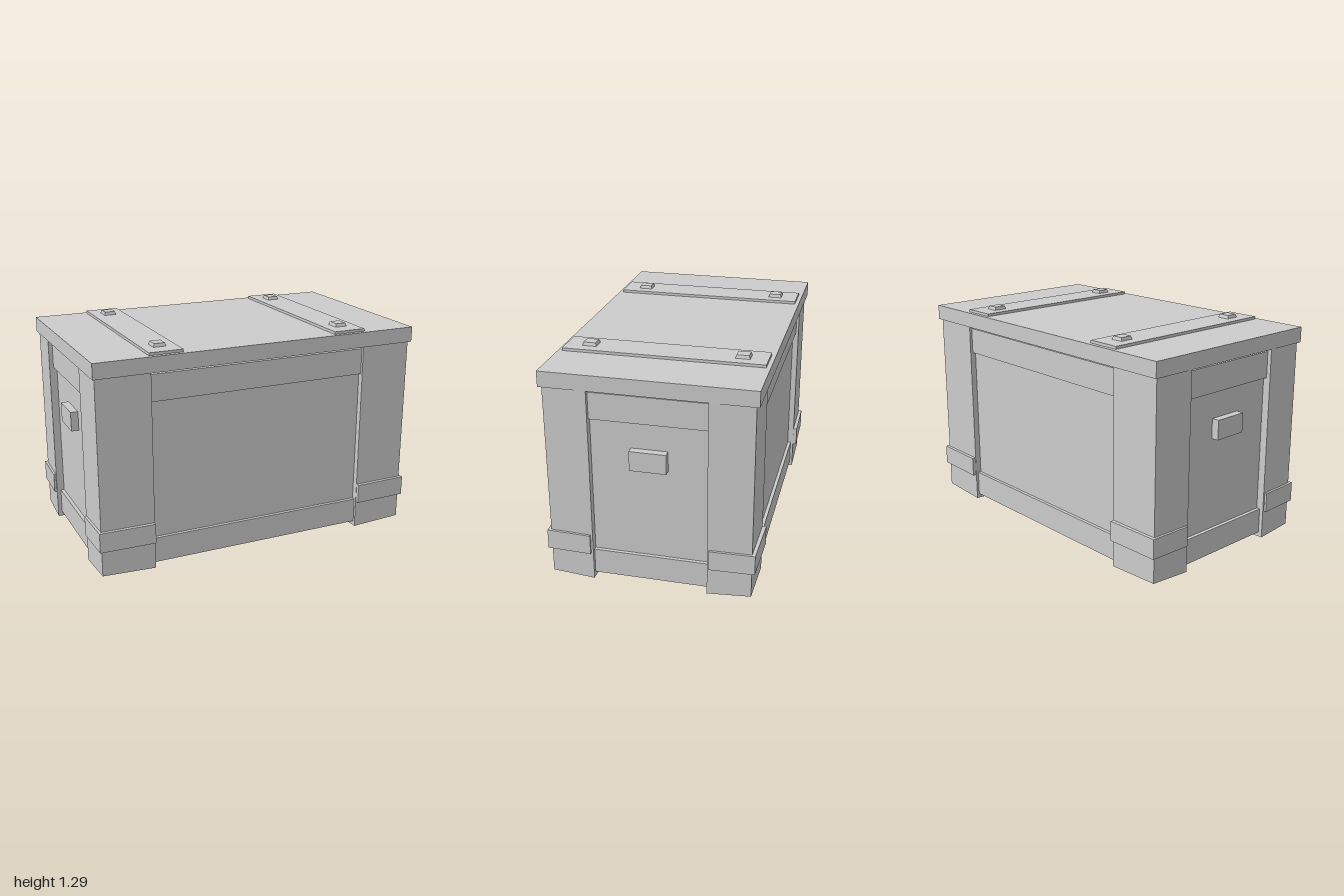
import * as THREE from 'three';

export function createModel() {
  const model = new THREE.Group();
  model.name = 'crate';
  const grey = new THREE.MeshStandardMaterial({ color: 0xcccccc });
  grey.name = 'grey';

  const add = (name, geometry) => {
    const mesh = new THREE.Mesh(geometry, grey);
    mesh.name = name;
    model.add(mesh);
    return mesh;
  };

  // Box given by half sizes in x and z, standing from y0 to y1
  const slab = (name, hx, y0, y1, hz, x = 0, z = 0) =>
    add(name, new THREE.BoxGeometry(hx * 2, y1 - y0, hz * 2)).position.set(x, (y0 + y1) / 2, z);

  // Upright prism over a four-cornered footprint, mirrored into one corner
  const prism = (footprint, y0, y1, sx, sz) => {
    const shape = new THREE.Shape(footprint.map(([x, z]) => new THREE.Vector2(x * sx, -z * sz)));
    const geometry = new THREE.ExtrudeGeometry(shape, { depth: y1 - y0, bevelEnabled: false });
    return geometry.rotateX(-Math.PI / 2).translate(0, y0, 0);
  };

  // Body: recessed panels between a top and a bottom rail
  slab('panels', 0.942, 0.045, 1.15, 0.545);
  slab('topRail', 0.963, 1.0, 1.155, 0.565);
  slab('bottomRail', 0.963, 0.04, 0.19, 0.565);

  // Lid
  slab('lid', 0.99, 1.17, 1.26, 0.594);

  const postFootprint = [[0.977, 0.576], [0.663, 0.581], [0.663, 0.328], [0.987, 0.328]];
  const bracketFootprint = [[0.991, 0.595], [0.665, 0.603], [0.665, 0.34], [1.0, 0.34]];

  for (const sx of [-1, 1]) {
    // Strap across the lid and carrying handle on the end
    slab('lidStrap', 0.099, 1.26, 1.276, 0.57, sx * 0.57);
    slab('handle', 0.025, 0.73, 0.845, 0.103, sx * 0.961);

    for (const sz of [-1, 1]) {
      // Corner post, its foot sloping down towards the inside
      const post = prism(postFootprint, 0, 1.17, sx, sz);
      const p = post.attributes.position;
      for (let i = 0; i < p.count; i++) {
        if (p.getY(i) > 0.5) continue;
        const dx = (0.985 - Math.abs(p.getX(i))) / 0.322;
        const dz = (0.58 - Math.abs(p.getZ(i))) / 0.252;
        p.setY(i, Math.max(0, 0.025 - 0.0125 * (dx + dz)));
      }
      post.computeVertexNormals();
      add('cornerPost', post);

      // Bracket wrapped round the foot of the post
      add('cornerBracket', prism(bracketFootprint, 0.178, 0.295, sx, sz));

      // Tapered bolt head on the strap
      const bolt = new THREE.BoxGeometry(0.074, 0.02, 0.082);
      const b = bolt.attributes.position;
      for (let i = 0; i < b.count; i++) {
        if (b.getY(i) > 0) b.setXYZ(i, b.getX(i) * 0.85, b.getY(i), b.getZ(i) * 0.85);
      }
      bolt.computeVertexNormals();
      add('bolt', bolt).position.set(sx * 0.57, 1.285, sz * 0.432);
    }
  }
  return model;
}
